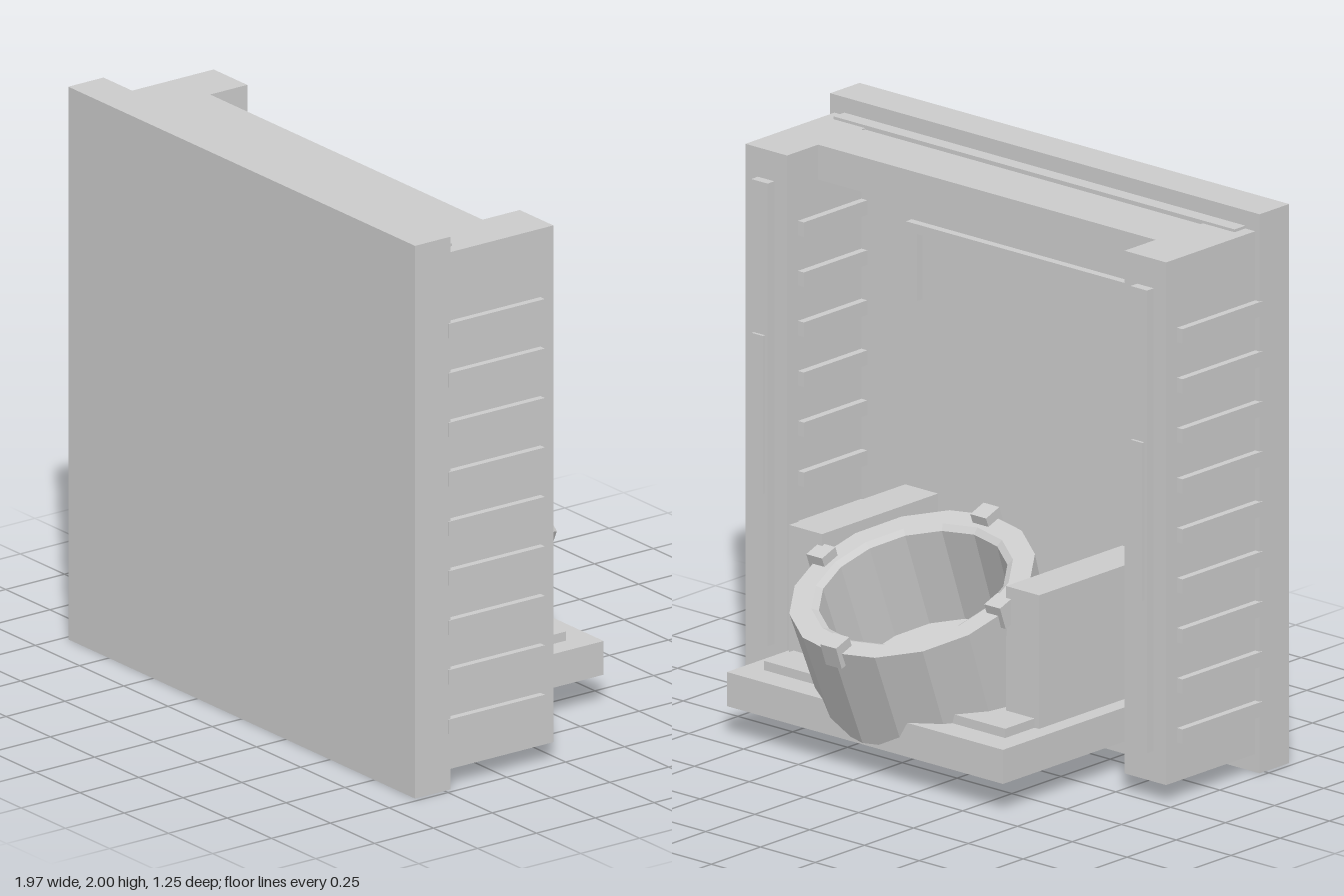
import * as THREE from 'three';

const material = new THREE.MeshStandardMaterial({ color: 0xcccccc, flatShading: true });

// Box given by its min/max extents on each axis
function box(parent, name, [x0, x1], [y0, y1], [z0, z1]) {
  const mesh = new THREE.Mesh(new THREE.BoxGeometry(x1 - x0, y1 - y0, z1 - z0), material);
  mesh.position.set((x0 + x1) / 2, (y0 + y1) / 2, (z0 + z1) / 2);
  mesh.name = name;
  parent.add(mesh);
  return mesh;
}

// Same box on the left and right, measured on the left (+x) side
function pair(parent, name, [x0, x1], y, z) {
  box(parent, name + 'Left', [x0, x1], y, z);
  box(parent, name + 'Right', [-x1, -x0], y, z);
}

export function createModel() {
  const model = new THREE.Group();
  model.name = 'wallPanelUnit';

  // Front slab, stepped lip and recessed back panel
  box(model, 'frontSlab', [-0.98, 0.98], [0, 2], [0.475, 0.625]);
  box(model, 'lip', [-0.915, 0.915], [0.055, 1.945], [0.42, 0.475]);
  box(model, 'backPanel', [-0.77, 0.77], [0.07, 1.93], [0.4, 0.42]);

  // Side posts with layered rear strips
  pair(model, 'post', [0.77, 0.96], [0.065, 1.935], [0.022, 0.475]);
  pair(model, 'rearStrip', [0.828, 0.903], [0.175, 1.83], [-0.012, 0.022]);
  pair(model, 'rearInlay', [0.84, 0.891], [0.72, 1.285], [-0.023, -0.012]);

  // Ribs that run through each post and show on both faces
  for (let i = 0; i < 9; i++) {
    const y = 0.23 + i * 0.179;
    pair(model, 'rib' + i, [0.743, 0.985], [y - 0.026, y + 0.026], [0.077, 0.485]);
  }

  // Cross beams
  box(model, 'topBeam', [-0.77, 0.77], [1.81, 1.935], [0.18, 0.4]);
  box(model, 'bottomBeam', [-0.77, 0.77], [0.065, 0.19], [0.18, 0.4]);

  // Thin bracket on the back panel
  box(model, 'bracketBar', [-0.54, 0.54], [1.63, 1.665], [0.37, 0.4]);
  pair(model, 'bracketLeg', [0.49, 0.54], [1.39, 1.63], [0.37, 0.4]);

  // Stepped tray and the cheeks that hold the tub
  box(model, 'tray', [-0.63, 0.63], [0.11, 0.232], [-0.44, 0.4]);
  box(model, 'trayStep', [-0.55, 0.55], [0.232, 0.265], [-0.34, 0.4]);
  pair(model, 'cheek', [0.42, 0.57], [0.232, 0.71], [-0.19, 0.4]);

  // Tilted hollow tub
  const tub = new THREE.Group();
  tub.name = 'tub';
  tub.position.set(0, 0.627, -0.2);
  tub.rotation.x = -THREE.MathUtils.degToRad(20);
  const profile = [
    [0, -0.39], [0.41, -0.39], [0.43, 0], [0.353, 0],
    [0.33, -0.015], [0.32, -0.375], [0, -0.375],
  ].map(([r, y]) => new THREE.Vector2(r, y));
  const shell = new THREE.Mesh(new THREE.LatheGeometry(profile, 16), material);
  shell.name = 'tubShell';
  tub.add(shell);

  // Four clips around the rim
  for (let i = 0; i < 4; i++) {
    const arm = new THREE.Group();
    arm.name = 'clip' + i;
    arm.rotation.y = i * Math.PI / 2;
    box(arm, 'rimClip', [-0.036, 0.036], [-0.05, 0.035], [0.37, 0.442]);
    tub.add(arm);
  }
  model.add(tub);

  return model;
}
